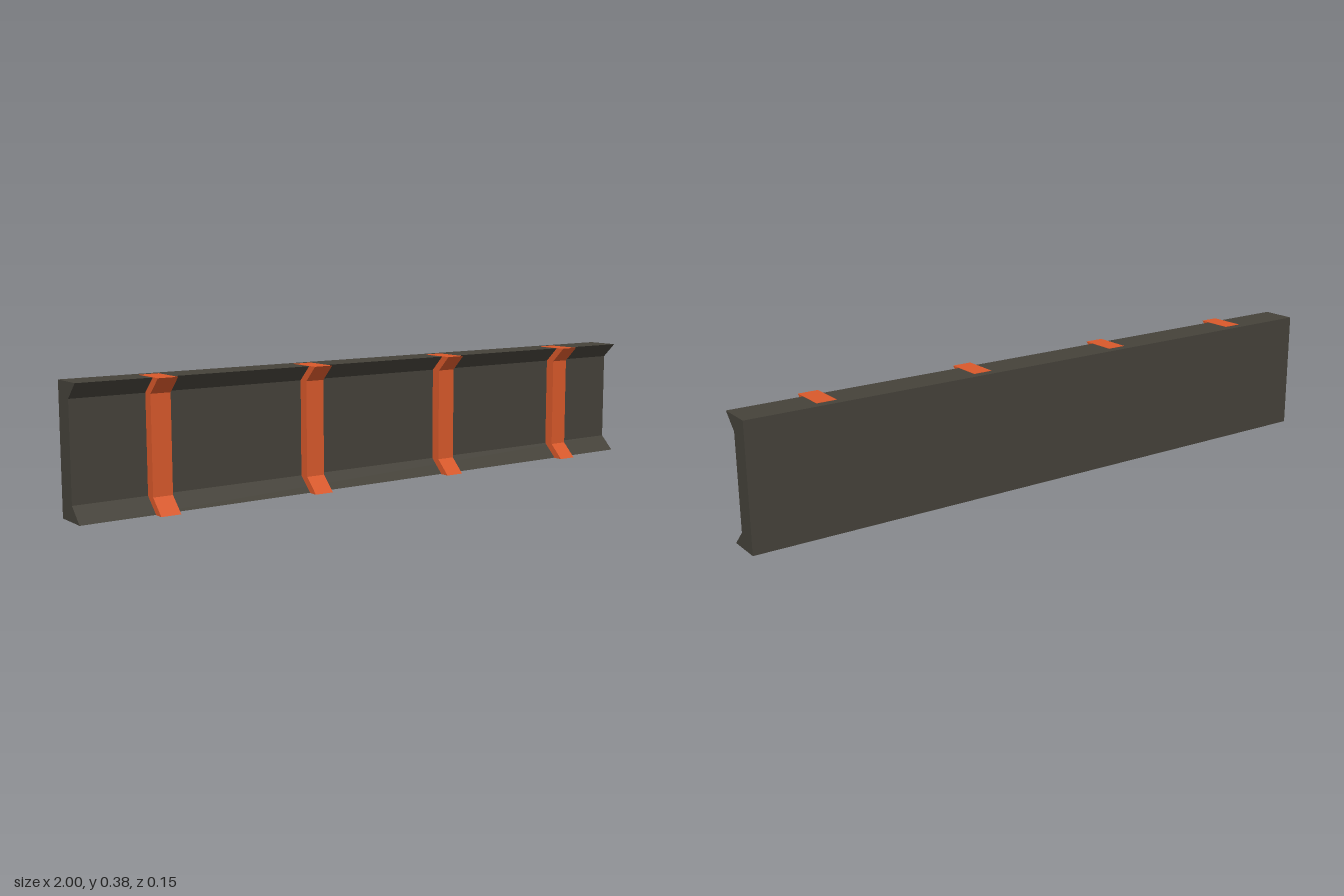
import * as THREE from 'three';

const HEIGHT = 0.376;

// Channel-shaped section (z across, y up) extruded along x and centred on x = 0.
function channel(name, length, back, web, tip, inset, material) {
  const bottom = inset, top = HEIGHT - inset, lip = 0.046;
  const shape = new THREE.Shape([
    [back, bottom], [tip, bottom], [web, lip],
    [web, HEIGHT - lip], [tip, top], [back, top],
  ].map(([z, y]) => new THREE.Vector2(-z, y)));
  const geometry = new THREE.ExtrudeGeometry(shape, { depth: length, bevelEnabled: false });
  geometry.translate(0, 0, -length / 2);
  geometry.rotateY(Math.PI / 2); // extrusion runs along x, section x becomes -z
  const mesh = new THREE.Mesh(geometry, material);
  mesh.name = name;
  return mesh;
}

export function createModel() {
  const group = new THREE.Group();
  group.name = 'barrierPanel';
  const dark = new THREE.MeshStandardMaterial({ color: 0x45423a, flatShading: true });
  const orange = new THREE.MeshStandardMaterial({ color: 0xd9592b, flatShading: true });

  // Long panel with flared top and bottom lips, turned very slightly
  const panel = new THREE.Group();
  panel.name = 'panel';
  panel.rotation.y = -0.00375;
  panel.add(channel('beam', 2, -0.0697, -0.0065, 0.0395, 0.0008, dark));

  // Four evenly spaced bands following the same section
  for (let i = 0; i < 4; i++) {
    const band = channel('band' + (i + 1), 0.06, -0.043, 0.0243, 0.0705, 0, orange);
    band.position.x = -0.75 + i * 0.5;
    panel.add(band);
  }
  group.add(panel);
  return group;
}
